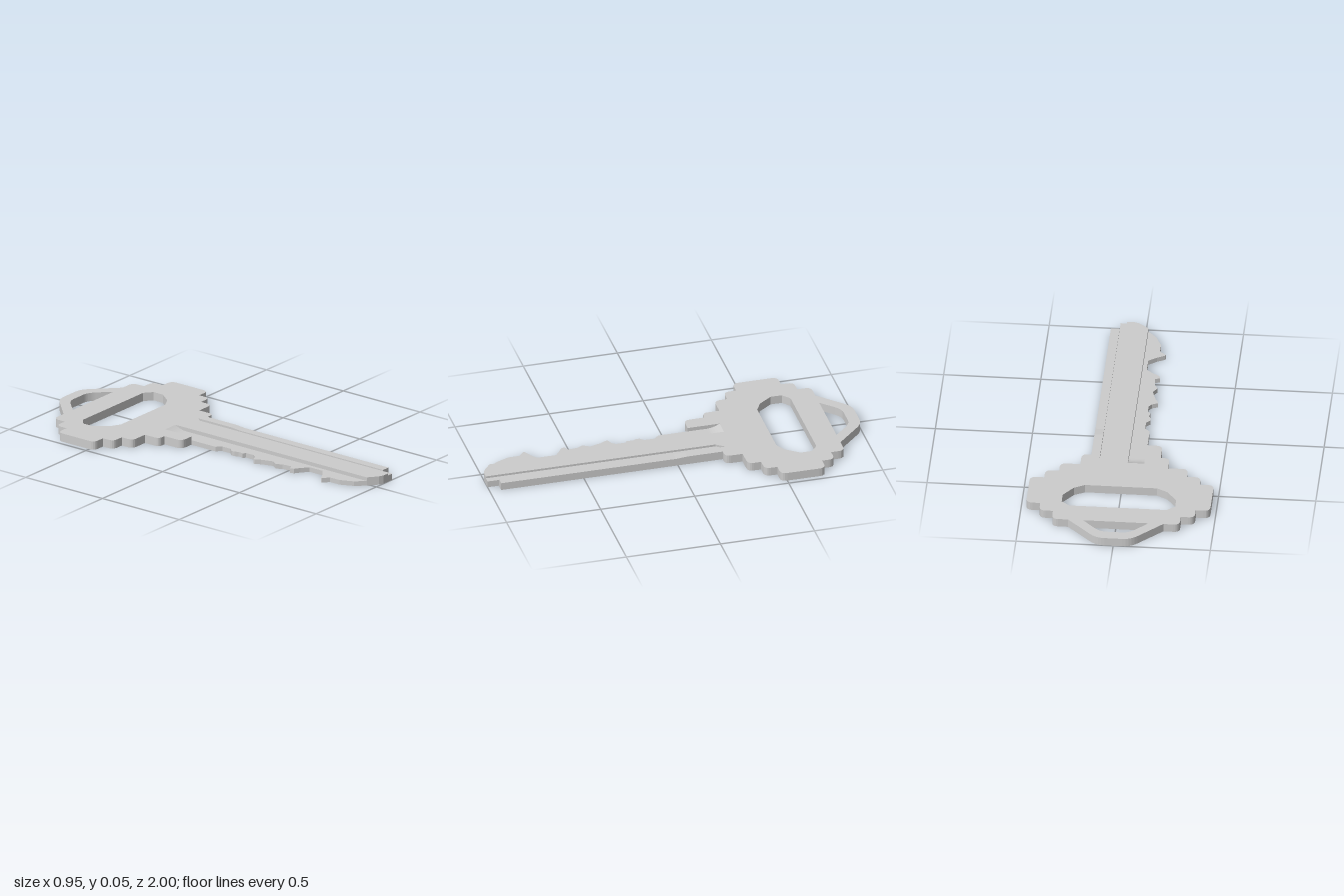
import * as THREE from 'three';

const H = 0.045;      // full thickness
const CUT = 0.025;    // thickness of the toothed edge
const material = new THREE.MeshStandardMaterial({ color: 0xcccccc, flatShading: true });

// Closed outline from [x, z, cornerRadius] points
function outline(points, Type = THREE.Shape) {
  const path = new Type();
  const n = points.length;
  const v = points.map(([x, z]) => new THREE.Vector2(x, -z));
  points.forEach(([, , r = 0], i) => {
    const p = v[i];
    const toward = (q) => p.clone().add(q.clone().sub(p).setLength(r));
    const a = r ? toward(v[(i + n - 1) % n]) : p;
    if (i === 0) path.moveTo(a.x, a.y);
    else path.lineTo(a.x, a.y);
    if (r) {
      const b = toward(v[(i + 1) % n]);
      path.quadraticCurveTo(p.x, p.y, b.x, b.y);
    }
  });
  path.closePath();
  return path;
}

// The other half of a symmetric outline, in reverse order
const mirror = (half) => half.map(([x, z, r]) => [-x, z, r]).reverse();

// Symmetric opening, wound against the outer outline so its walls face inward
const opening = (half) => outline([...half, ...mirror(half)].reverse(), THREE.Path);

function slab(name, shape, height) {
  const g = new THREE.ExtrudeGeometry(shape, { depth: height, bevelEnabled: false, curveSegments: 5 });
  g.rotateX(-Math.PI / 2);
  const mesh = new THREE.Mesh(g, material);
  mesh.name = name;
  return mesh;
}

// Bar along z from sections [z, x0, x1, height]
function bar(name, sections) {
  const rings = sections.map(([z, x0, x1, h]) => [[x0, 0, z], [x1, 0, z], [x1, h, z], [x0, h, z]]);
  const pos = [];
  const quad = (a, b, c, d) => pos.push(...a, ...b, ...c, ...a, ...c, ...d);
  for (let i = 0; i < rings.length - 1; i++) {
    for (let k = 0; k < 4; k++) {
      const m = (k + 1) % 4;
      quad(rings[i][k], rings[i][m], rings[i + 1][m], rings[i + 1][k]);
    }
  }
  quad(...rings[0].slice().reverse());
  quad(...rings[rings.length - 1]);
  const g = new THREE.BufferGeometry();
  g.setAttribute('position', new THREE.Float32BufferAttribute(pos, 3));
  g.computeVertexNormals();
  const mesh = new THREE.Mesh(g, material);
  mesh.name = name;
  return mesh;
}

export function createModel() {
  const key = new THREE.Group();
  key.name = 'key';

  // Stepped bow, from the top centre down one side
  const bowHalf = [
    [0.09, -1, 0.045], [0.245, -0.845], [0.329, -0.845, 0.033], [0.329, -0.772],
    [0.4, -0.772, 0.033], [0.4, -0.705], [0.473, -0.705, 0.033], [0.473, -0.467, 0.033],
    [0.4, -0.467], [0.4, -0.4, 0.033], [0.329, -0.4], [0.329, -0.33, 0.033],
    [0.226, -0.33], [0.226, -0.238, 0.03],
  ];
  // Full-height spine running to the tip, with the channel and groove left out
  const spine = [
    [0.177, -0.238], [0.132, -0.238], [0.132, -0.265], [0.098, -0.22], [0.098, 1],
    [0.06, 1], [0.035, 0.99], [-0.015, 0.95], [-0.015, -0.297], [-0.1, -0.297],
    [-0.1, -0.127], [-0.18, -0.127, 0.035], [-0.18, -0.238],
  ];
  const body = outline([...bowHalf, ...spine, ...mirror(bowHalf)]);

  // Bow openings
  body.holes.push(
    opening([[0.25, -0.715], [0.292, -0.68], [0.292, -0.62], [0.24, -0.55], [0.185, -0.52]]),
    opening([[0.06, -0.94, 0.02], [0.095, -0.92, 0.015], [0.168, -0.845]]),
  );
  key.add(slab('bowAndSpine', body, H));

  // Thin toothed edge
  const teeth = [
    [-0.1, -0.227], [-0.1, 0.03], [-0.075, 0.055], [-0.075, 0.11], [-0.095, 0.13], [-0.095, 0.15],
    [-0.085, 0.17], [-0.09, 0.2], [-0.075, 0.21], [-0.075, 0.26], [-0.09, 0.28], [-0.12, 0.293],
    [-0.12, 0.303], [-0.105, 0.33], [-0.085, 0.395], [-0.107, 0.43], [-0.09, 0.46], [-0.085, 0.513],
    [-0.112, 0.525], [-0.105, 0.545], [-0.075, 0.565], [-0.037, 0.595], [-0.037, 0.68], [-0.08, 0.712],
    [-0.122, 0.735], [-0.122, 0.742], [-0.09, 0.77], [-0.09, 0.83], [-0.06, 0.9], [-0.015, 0.95],
    [-0.015, -0.227],
  ];
  key.add(slab('toothedEdge', outline(teeth), CUT));

  // Curved run-out where the channel meets the bow
  const runOut = [];
  for (let i = 0; i <= 6; i++) {
    const t = i / 6;
    runOut.push([-0.297 + 0.07 * t, -0.1, -0.015, CUT + (H - CUT) * (1 - t) ** 2]);
  }
  key.add(bar('channelRunOut', runOut));

  // Narrow groove beside the spine, ending in a point at the bow
  key.add(bar('groove', [
    [-0.265, 0.1315, 0.132, 0.034], [-0.22, 0.098, 0.132, 0.034], [1, 0.098, 0.132, 0.034],
  ]));

  // Outer rail, stepping down slightly from the bow
  key.add(bar('outerRail', [
    [-0.238, 0.132, 0.177, H], [-0.05, 0.132, 0.177, H],
    [0.01, 0.132, 0.177, 0.04], [0.94, 0.132, 0.177, 0.04],
  ]));

  return key;
}
